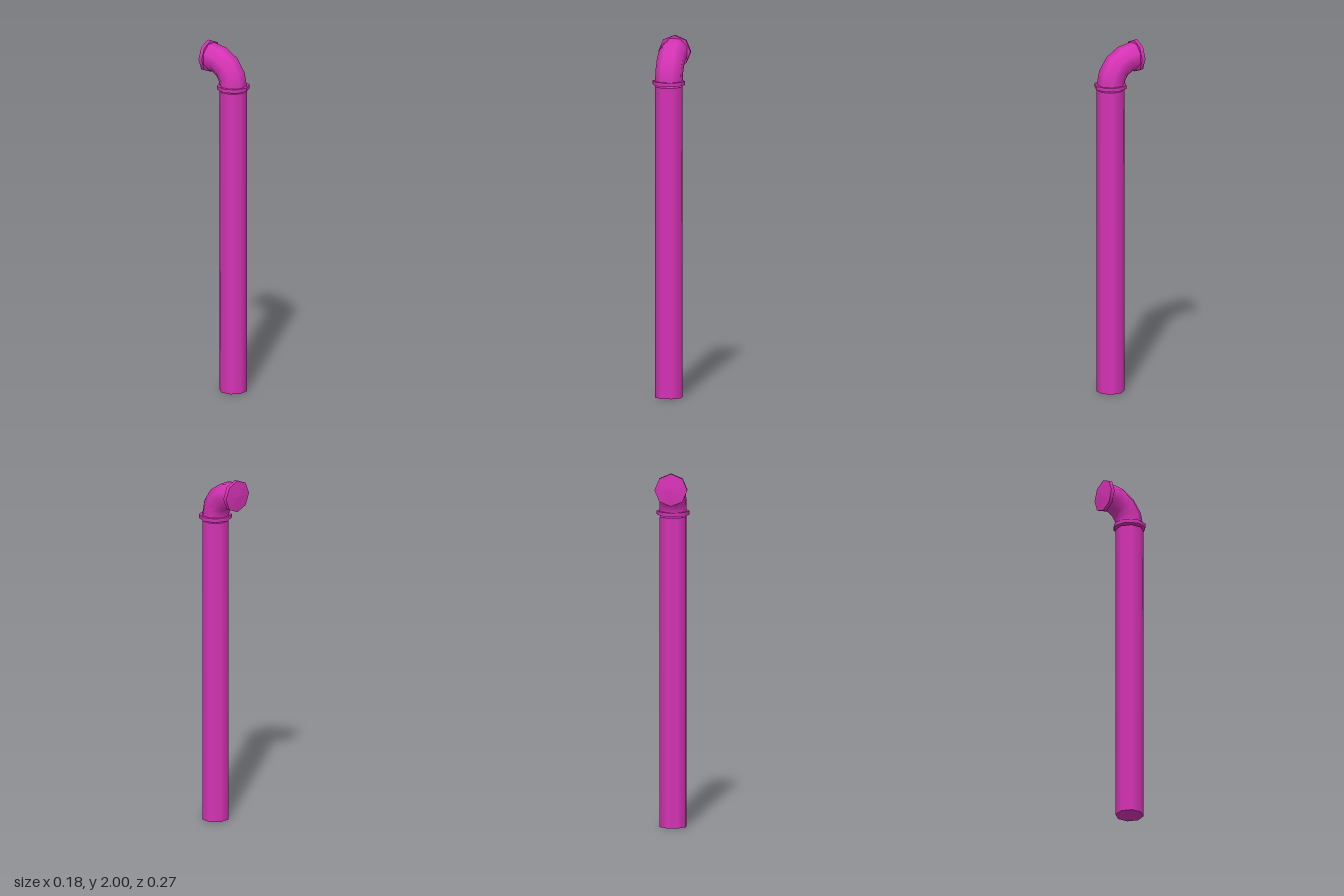
import * as THREE from 'three';

const SIDES = 8;
const PIPE_R = 0.078;   // corner radius of the octagonal pipe
const FLANGE_R = 0.091;
const PIPE_Z = 0.043;
const BEND_R = 0.15;
const BEND_Y = 1.759;   // height of the bend centre

export function createModel() {
  const model = new THREE.Group();
  const material = new THREE.MeshStandardMaterial({ color: 0xd633b5, side: THREE.DoubleSide });

  const add = (name, geometry, parent = model) => {
    const mesh = new THREE.Mesh(geometry, material);
    mesh.name = name;
    parent.add(mesh);
    return mesh;
  };

  // Long upright pipe, flat side to the front
  const pipe = add('pipe', new THREE.CylinderGeometry(PIPE_R, PIPE_R, 1.737, SIDES, 1, false, Math.PI / SIDES));
  pipe.position.set(0, 1.737 / 2, PIPE_Z);

  // Elbow: a straight tube bent a quarter turn toward the back
  const bend = new THREE.CylinderGeometry(PIPE_R, PIPE_R, 1, SIDES, 4, true, Math.PI / SIDES);
  const pos = bend.attributes.position;
  const nor = bend.attributes.normal;
  for (let i = 0; i < pos.count; i++) {
    const a = (pos.getY(i) + 0.5) * Math.PI / 2;
    const r = BEND_R + pos.getZ(i);
    const nz = nor.getZ(i);
    pos.setXYZ(i, pos.getX(i), BEND_Y + r * Math.sin(a), PIPE_Z - BEND_R + r * Math.cos(a));
    nor.setXYZ(i, nor.getX(i), nz * Math.sin(a), nz * Math.cos(a));
  }
  add('elbow', bend);

  // Flange: octagonal disc with a shallow domed outer face pointing down
  const addFlange = (name) => {
    const flange = new THREE.Group();
    flange.name = name;
    add('flangeDisc', new THREE.CylinderGeometry(FLANGE_R, FLANGE_R, 0.021, SIDES), flange);
    const cap = add('flangeCap', new THREE.ConeGeometry(FLANGE_R, 0.008, SIDES, 1, true), flange);
    cap.rotation.x = Math.PI;
    cap.position.y = -0.0145;
    model.add(flange);
    return flange;
  };

  addFlange('lowerFlange').position.set(0, 1.757, PIPE_Z);

  const end = addFlange('endFlange');
  end.position.set(0, BEND_Y + BEND_R, -0.1175);
  end.rotation.x = Math.PI / 2;

  return model;
}
